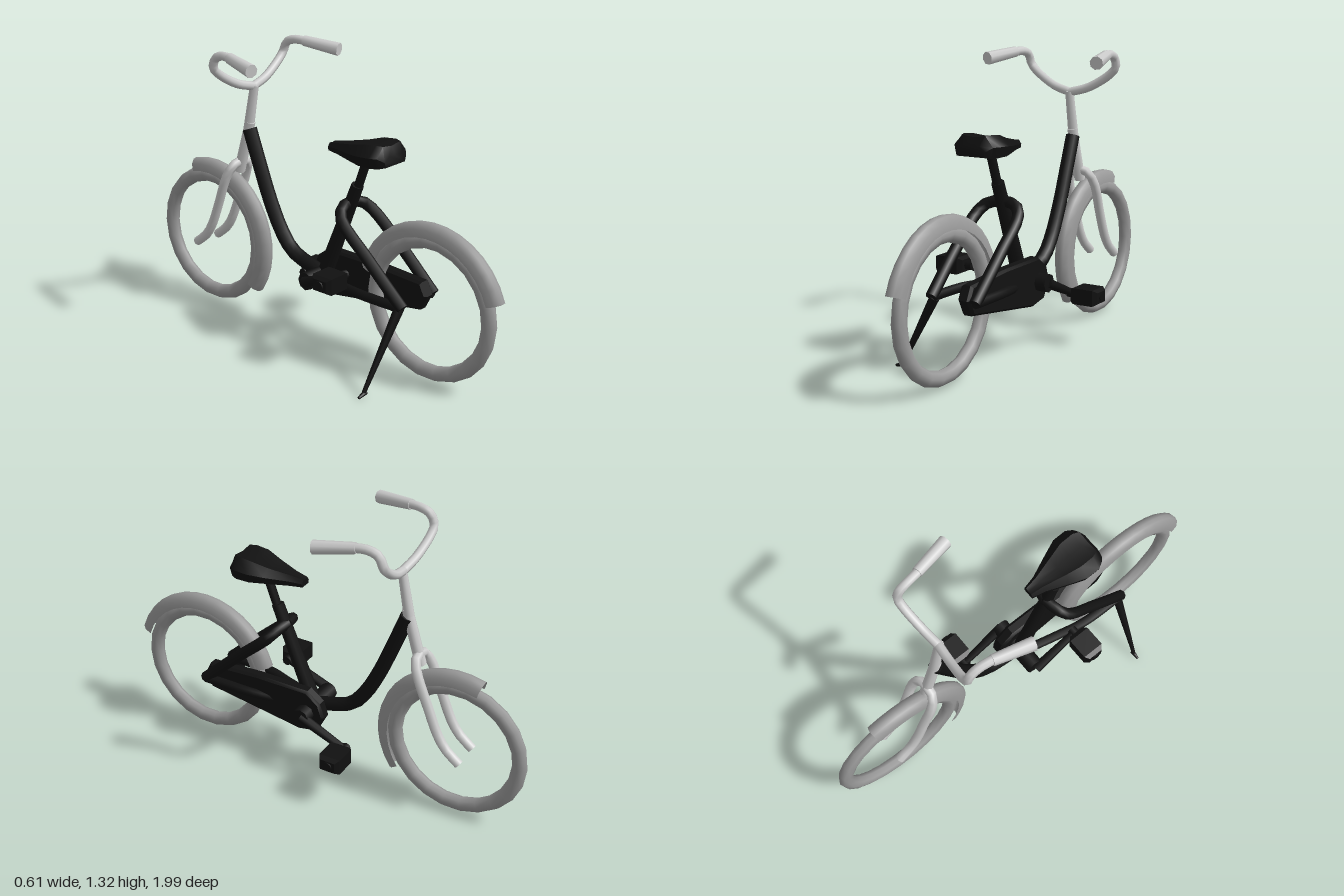
import * as THREE from 'three';
import { mergeGeometries, toCreasedNormals } from 'three/addons/utils/BufferGeometryUtils.js';

const V = (x, y, z) => new THREE.Vector3(x, y, z);
const steel = new THREE.MeshStandardMaterial({ color: 0xcccccc });
const wheelGrey = new THREE.MeshStandardMaterial({ color: 0x999999 });
const fenderGrey = new THREE.MeshStandardMaterial({ color: 0x999999, side: THREE.DoubleSide });
const black = new THREE.MeshStandardMaterial({ color: 0x111111 });

// Capped round tube along a smooth path; each point is [x, y, z], side mirrors x
function tube(points, r, side = 1, segments = 14) {
  const curve = new THREE.CatmullRomCurve3(points.map(([x, y, z]) => V(x * side, y, z)), false, 'centripetal');
  const parts = [new THREE.TubeGeometry(curve, segments, r, 8)];
  for (const t of [0, 1]) {
    const out = curve.getTangentAt(t).multiplyScalar(t ? 1 : -1);
    const p = curve.getPointAt(t);
    parts.push(new THREE.CircleGeometry(r, 8)
      .applyQuaternion(new THREE.Quaternion().setFromUnitVectors(V(0, 0, 1), out))
      .translate(p.x, p.y, p.z));
  }
  return mergeGeometries(parts);
}

// Straight tapered rod from a to b
function rod(a, b, ra, rb = ra, sides = 8) {
  const from = V(...a), to = V(...b), dir = to.clone().sub(from);
  const mid = from.clone().add(to).multiplyScalar(0.5);
  return new THREE.CylinderGeometry(rb, ra, dir.length(), sides)
    .applyQuaternion(new THREE.Quaternion().setFromUnitVectors(V(0, 1, 0), dir.normalize()))
    .translate(mid.x, mid.y, mid.z);
}

// Tyre ring lying in the yz plane
function wheel(z) {
  return new THREE.TorusGeometry(0.296, 0.035, 8, 22).rotateY(Math.PI / 2).scale(0.85, 1, 1).translate(0, 0.34, z);
}

// Arched mudguard; angles run from +z upwards
function fender(z, start, end) {
  const profile = [[0.318, -0.04], [0.352, -0.036], [0.374, -0.018], [0.378, 0], [0.374, 0.018], [0.352, 0.036], [0.318, 0.04]]
    .map(([r, x]) => new THREE.Vector2(r, x));
  return new THREE.LatheGeometry(profile, 14, start, end - start).rotateZ(Math.PI / 2).translate(0, 0.34, z);
}

// Saddle lofted from nose to tail: [z, half width, bottom, top]
function saddle() {
  const sections = [[0.09, 0.028, 0.922, 0.955], [0.15, 0.042, 0.92, 0.965], [0.25, 0.085, 0.92, 0.985],
    [0.32, 0.113, 0.92, 1.005], [0.385, 0.113, 0.92, 1.012], [0.415, 0.095, 0.92, 1.01], [0.437, 0.07, 0.925, 0.97]];
  const ring = [[0.9, 0], [1, 0.5], [0.6, 1], [0, 0.92], [-0.6, 1], [-1, 0.5], [-0.9, 0], [0, 0]];
  const n = ring.length, pos = [], index = [];
  for (const [z, w, lo, hi] of sections) for (const [x, y] of ring) pos.push(x * w, lo + y * (hi - lo), z);
  for (let i = 0; i < sections.length - 1; i++) {
    for (let j = 0; j < n; j++) {
      const a = i * n + j, b = i * n + (j + 1) % n;
      index.push(a, b, b + n, a, b + n, a + n);
    }
  }
  const last = (sections.length - 1) * n;
  for (let k = 1; k < n - 1; k++) index.push(0, k + 1, k, last, last + k, last + k + 1);
  const g = new THREE.BufferGeometry();
  g.setAttribute('position', new THREE.Float32BufferAttribute(pos, 3));
  g.setIndex(index);
  return toCreasedNormals(g, 0.7);
}

// Chain case: side outline [z, y] extruded sideways with a bevel
function chainCase() {
  const outline = [[0.58, 0.36], [0.555, 0.41], [0.3, 0.425], [0.04, 0.425], [-0.02, 0.38], [-0.04, 0.32],
    [0, 0.245], [0.08, 0.23], [0.55, 0.3]];
  const shape = new THREE.Shape(outline.map(([z, y]) => new THREE.Vector2(-z, y)));
  const g = new THREE.ExtrudeGeometry(shape, { depth: 0.035, bevelSize: 0.01, bevelThickness: 0.012, bevelSegments: 1 });
  return toCreasedNormals(g.rotateY(Math.PI / 2).translate(0.043, 0, 0), 0.5);
}

export function createModel() {
  const model = new THREE.Group();
  const bike = new THREE.Group();
  bike.name = 'bicycle';
  model.add(bike);
  const add = (name, geometry, material) => {
    const mesh = new THREE.Mesh(geometry, material);
    mesh.name = name;
    bike.add(mesh);
    return mesh;
  };

  // Wheels and mudguards
  add('rearWheel', wheel(0.64), wheelGrey);
  add('frontWheel', wheel(-0.665), wheelGrey);
  add('rearFender', fender(0.64, 0.33, 2.86), fenderGrey);
  add('frontFender', fender(-0.665, -0.6, 1.87), fenderGrey);

  // Step-through frame
  add('downTube', tube([[0, 0.915, -0.41], [0, 0.76, -0.35], [0, 0.6, -0.285], [0, 0.46, -0.21], [0, 0.385, -0.14], [0, 0.33, 0.03]], 0.033), black);
  add('seatTube', rod([0, 0.33, 0.05], [0, 0.79, 0.235], 0.036, 0.028), black);
  add('seatPost', rod([0, 0.72, 0.215], [0, 0.94, 0.295], 0.02), black);
  add('saddle', saddle(), black);
  for (const side of [1, -1]) {
    add('seatStay', tube([[0, 0.7, 0.19], [0.06, 0.695, 0.2], [0.1, 0.66, 0.23], [0.11, 0.52, 0.39], [0.108, 0.35, 0.575]], 0.026, side), black);
    add('chainStay', tube([[0.03, 0.33, 0.06], [0.07, 0.335, 0.22], [0.1, 0.345, 0.35], [0.108, 0.35, 0.57]], 0.022, side), black);
  }
  add('chainCase', chainCase(), black);

  // Fork
  add('steerer', rod([0, 0.7, -0.48], [0, 0.95, -0.405], 0.026, 0.024), steel);
  for (const side of [1, -1]) {
    add('forkLeg', tube([[0, 0.75, -0.47], [0.045, 0.735, -0.475], [0.067, 0.68, -0.5], [0.067, 0.54, -0.555],
      [0.067, 0.42, -0.605], [0.067, 0.36, -0.645], [0.067, 0.305, -0.712]], 0.022, side), steel);
  }

  // Stem, swept handlebar and grips
  add('stem', rod([0, 0.92, -0.415], [0, 1.125, -0.375], 0.024, 0.02), steel);
  for (const side of [1, -1]) {
    add('handlebar', tube([[0, 1.12, -0.38], [0.09, 1.145, -0.392], [0.19, 1.205, -0.405], [0.222, 1.24, -0.405],
      [0.225, 1.285, -0.385], [0.228, 1.302, -0.34], [0.24, 1.3, -0.26]], 0.02, side, 18), steel);
    add('grip', rod([0.236 * side, 1.302, -0.29], [0.279 * side, 1.28, -0.115], 0.024, 0.03), steel);
  }

  // Cranks and pedals, half a turn apart about the bottom bracket
  const hubY = 0.325, hubZ = 0.04;
  add('bottomBracket', rod([-0.12, hubY, hubZ], [0.14, hubY, hubZ], 0.042), black);
  for (const side of [1, -1]) {
    const x = 0.13 * side, y = hubY - 0.095 * side, z = hubZ - 0.225 * side;
    add('crank', rod([x, hubY, hubZ], [x, y, z], 0.024, 0.017), black);
    add('pedalAxle', rod([x - 0.02 * side, y, z], [x + 0.155 * side, y, z], 0.022), black);
    // Tapered block: the two ends are narrower than the middle
    const block = new THREE.CylinderGeometry(0.052, 0.052, 0.1, 4, 1).rotateY(Math.PI / 4).rotateZ(Math.PI / 2);
    const ends = [-1, 1].map((e) => new THREE.CylinderGeometry(0.036, 0.052, 0.02, 4, 1)
      .rotateY(Math.PI / 4).translate(0, 0.06, 0).rotateZ(e * Math.PI / 2));
    const pedal = mergeGeometries([block, ...ends]).scale(1, 1, 1.4).translate(x + 0.08 * side, y, z);
    add('pedal', toCreasedNormals(pedal, 0.3), black);
  }

  // Kickstand with a small foot
  add('kickstand', rod([-0.105, 0.345, 0.555], [-0.297, 0.02, 0.53], 0.022, 0.009), black);
  add('kickstandFoot', rod([-0.285, 0.018, 0.53], [-0.33, 0.008, 0.53], 0.011, 0.006), black);

  bike.rotation.y = 0.09;
  bike.position.x = 0.013;
  return model;
}
